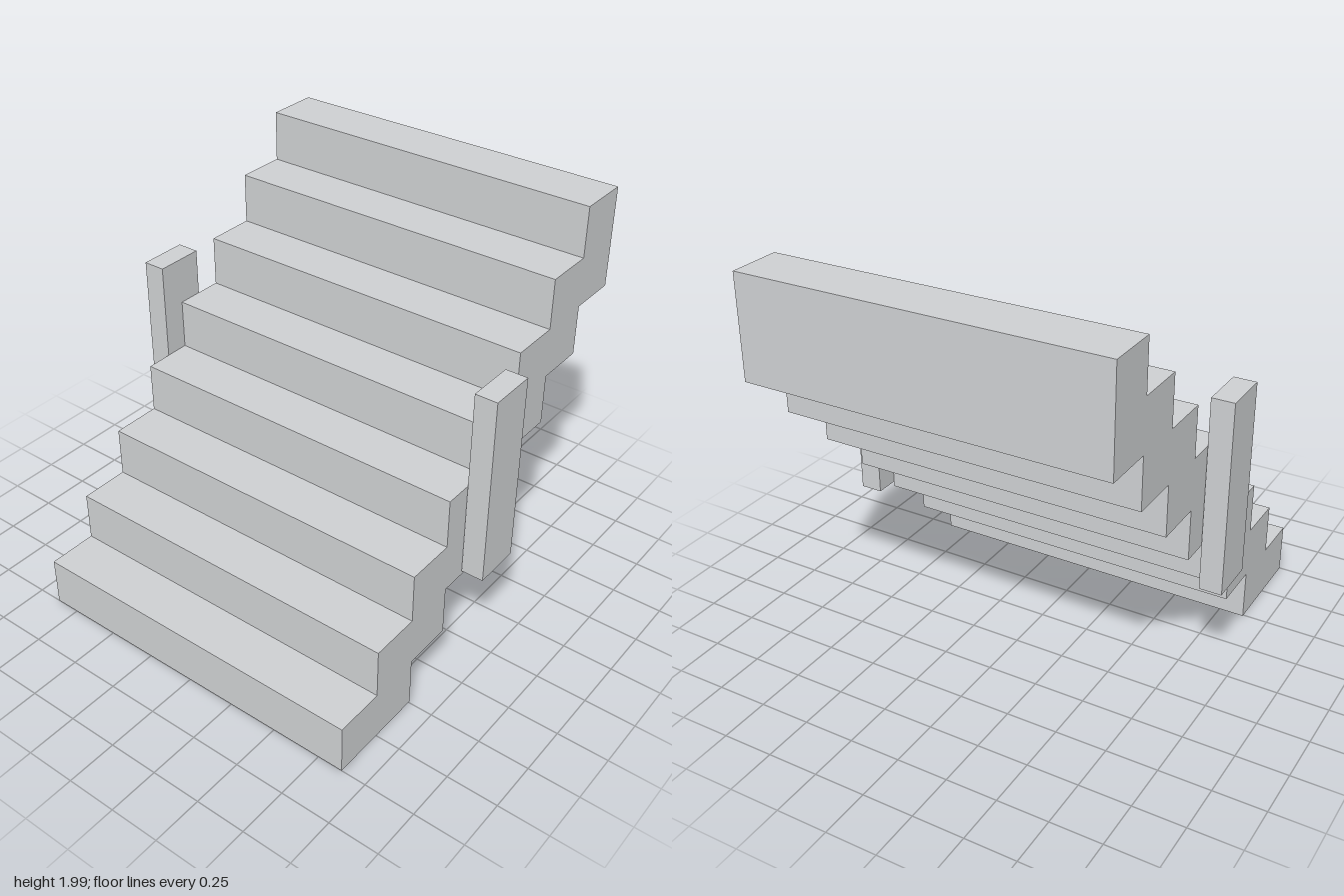
import * as THREE from 'three';

const STEPS = 8;
const RISE = 1.99 / STEPS;
const RUN = 0.2487;
const WIDTH = 1.752;

export function createModel() {
  const group = new THREE.Group();
  const stone = new THREE.MeshStandardMaterial({ color: 0xced0d2 });
  stone.name = 'pale grey stone';

  // Stepped side profile: x runs towards the back, y is up
  const profile = new THREE.Shape();
  profile.moveTo(-1, 0);
  // Treads and risers, from the bottom step up
  for (let i = 0; i < STEPS; i++) {
    profile.lineTo(-1 + i * RUN, (i + 1) * RISE);
    profile.lineTo(i < STEPS - 1 ? -1 + (i + 1) * RUN : 1, (i + 1) * RISE);
  }
  // Stepped underside, from the top step down
  for (let i = STEPS - 2; i >= 0; i--) {
    const back = 1 - (STEPS - 2 - i) * RUN;
    profile.lineTo(back, i * RISE);
    if (i > 0) profile.lineTo(back - RUN, i * RISE);
  }

  // Flight of stairs, extruded across the width
  const flight = new THREE.ExtrudeGeometry(profile, { depth: WIDTH, bevelEnabled: false });
  flight.translate(0, 0, -WIDTH / 2);
  flight.rotateY(Math.PI / 2);
  const stairs = new THREE.Mesh(flight, stone);
  stairs.name = 'stairs';
  group.add(stairs);

  // Square-ended posts against both sides
  const postGeometry = new THREE.BoxGeometry(0.11, 0.952, 0.24);
  for (const [name, side] of [['leftPost', 1], ['rightPost', -1]]) {
    const post = new THREE.Mesh(postGeometry, stone);
    post.name = name;
    post.position.set(side * 0.934, 0.998, 0);
    group.add(post);
  }

  return group;
}
